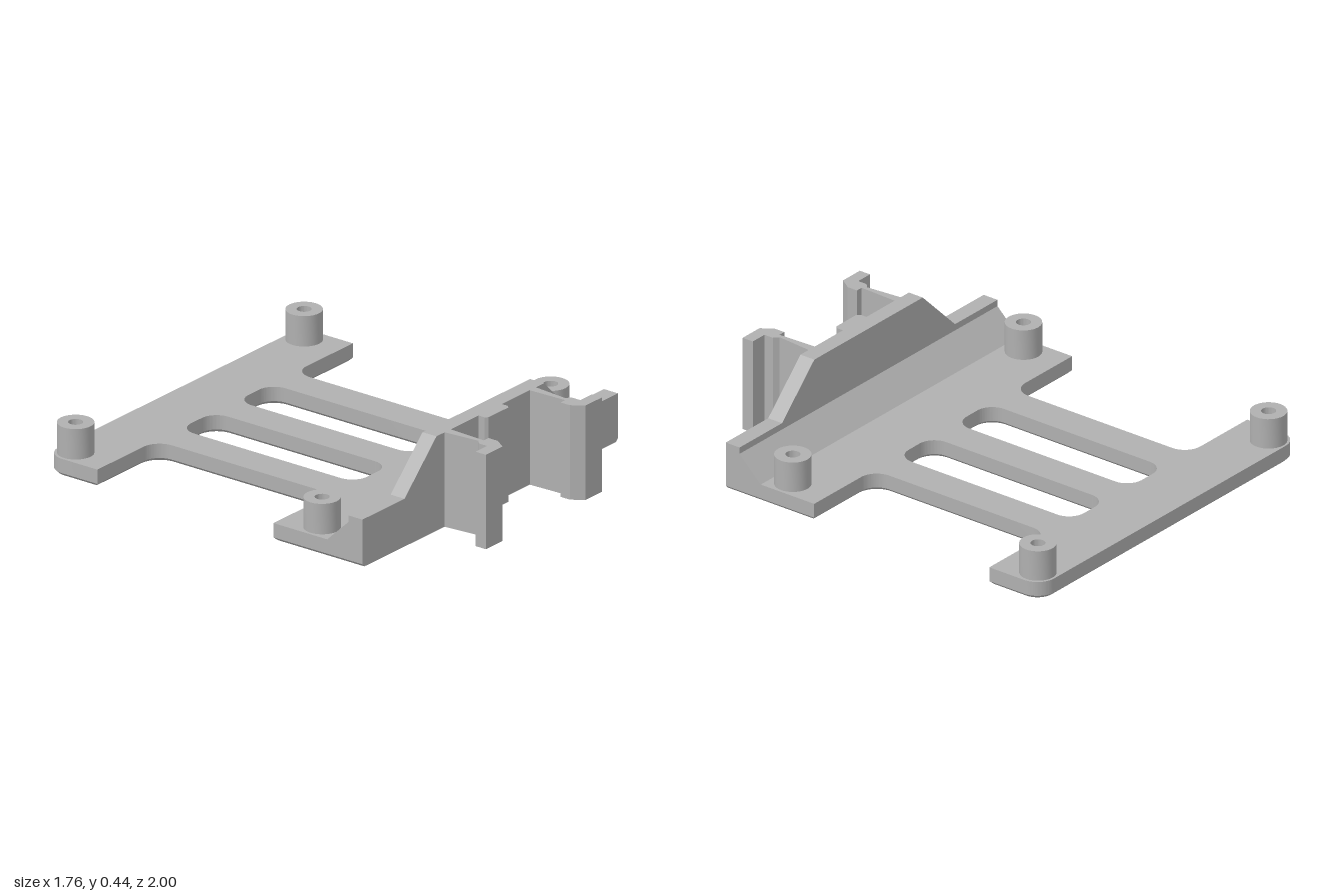
import * as THREE from 'three';
import { toCreasedNormals } from 'three/addons/utils/BufferGeometryUtils.js';

const H = 0.435;       // height of wall and clips
const T = 0.08;        // plate thickness
const C = 0.014;       // chamfer under the plate
const POSTS = [[0.787, -0.91], [-0.787, -0.91], [0.787, 0.42], [-0.787, 0.42]];

const polygon = (pts) => new THREE.Shape(pts.map(([a, b]) => new THREE.Vector2(a, b)));

function circle(x, z, r) {
  const p = new THREE.Path();
  p.absarc(x, z, r, 0, Math.PI * 2, true);
  return p;
}

// Extrudes an x-z outline upwards from y0 to y1
function upright(shape, y0, y1, bevel = 0) {
  const g = new THREE.ExtrudeGeometry(shape, {
    depth: y1 - y0 - 2 * bevel, curveSegments: 16, bevelEnabled: bevel > 0,
    bevelThickness: bevel, bevelSize: bevel, bevelOffset: -bevel, bevelSegments: 1,
  });
  g.rotateX(Math.PI / 2).translate(0, y1 - bevel, 0);
  return toCreasedNormals(g, 0.5);
}

// I-shaped plate outline with two slots and four screw holes
function plateShape(front) {
  const s = new THREE.Shape(), P = Math.PI, r = 0.085, w = 0.88, leg = 0.475;
  s.moveTo(-w, front);
  s.lineTo(w, front);
  s.lineTo(w, 0.23);
  s.absarc(leg + r, 0.23 - r, r, P / 2, P, false);
  s.absarc(leg + r, -0.72 + r, r, P, P * 1.5, false);
  s.lineTo(w, -0.72);
  s.absarc(w - 0.09, -0.91, 0.09, 0, -P / 2, true);
  s.absarc(-w + 0.09, -0.91, 0.09, -P / 2, -P, true);
  s.lineTo(-w, -0.72);
  s.absarc(-leg - r, -0.72 + r, r, -P / 2, 0, false);
  s.absarc(-leg - r, 0.23 - r, r, 0, P / 2, false);
  s.lineTo(-w, 0.23);
  for (const m of [-1, 1]) {
    const cx = m * 0.1975, hw = 0.1175, q = 0.08, h = new THREE.Path();
    h.absarc(cx + hw - q, 0.23 - q, q, 0, P / 2, false);
    h.absarc(cx - hw + q, 0.23 - q, q, P / 2, P, false);
    h.absarc(cx - hw + q, -0.72 + q, q, P, P * 1.5, false);
    h.absarc(cx + hw - q, -0.72 + q, q, P * 1.5, P * 2, false);
    s.holes.push(h);
  }
  for (const [x, z] of POSTS) s.holes.push(circle(x, z, 0.032));
  return s;
}

export function createModel() {
  const model = new THREE.Group();
  model.name = 'mountingBracket';
  const grey = new THREE.MeshStandardMaterial({ color: 0xb0b0b0 });
  grey.name = 'grey';
  const add = (name, geometry) => {
    const mesh = new THREE.Mesh(geometry, grey);
    mesh.name = name;
    model.add(mesh);
  };

  // Plate: straight upper layer over a chamfered lower layer
  add('plate', upright(plateShape(0.70), C, T));
  add('plateChamfer', upright(plateShape(0.70), 0, 2 * C + 0.004, C));

  // Hollow standoffs
  for (const [x, z] of POSTS) {
    const ring = new THREE.Shape();
    ring.absarc(x, z, 0.08, 0, Math.PI * 2, false);
    ring.holes.push(circle(x, z, 0.032));
    add('standoff', upright(ring, T, 0.22));
  }

  // Front wall, raised in the middle
  const half = [[0.88 - C, 0], [0.88, C], [0.88, 0.22], [0.59, 0.22], [0.37, H]];
  const wall = polygon([...half, ...half.map(([x, y]) => [-x, y]).reverse()]);
  add('frontWall', new THREE.ExtrudeGeometry(wall, { depth: 0.075, bevelEnabled: false })
    .translate(0, 0, 0.635));

  // Sloping brace between wall and plate
  const brace = polygon([[0.52, T], [0.64, T], [0.64, 0.195], [0.635, 0.19]]);
  add('brace', new THREE.ExtrudeGeometry(brace, { depth: 1.76, bevelEnabled: false })
    .rotateY(-Math.PI / 2).translate(0.88, 0, 0));

  // Centre rib on the wall
  add('centreRib', upright(polygon([[-0.08, 0.70], [0.08, 0.70], [0.08, 0.742], [0.068, 0.755],
    [-0.068, 0.755], [-0.08, 0.742]]), 0, H));

  // Mirrored spring clips with outward hooks
  const clip = [[0.272, 0.70], [0.28, 0.895], [0.248, 0.895], [0.248, 0.945], [0.285, 1],
    [0.40, 1], [0.40, 0.945], [0.32, 0.945], [0.32, 0.9], [0.298, 0.88], [0.315, 0.70]];
  for (const m of [1, -1]) {
    add(m > 0 ? 'leftClip' : 'rightClip', upright(polygon(clip.map(([x, z]) => [m * x, z])), 0, H));
  }
  return model;
}
